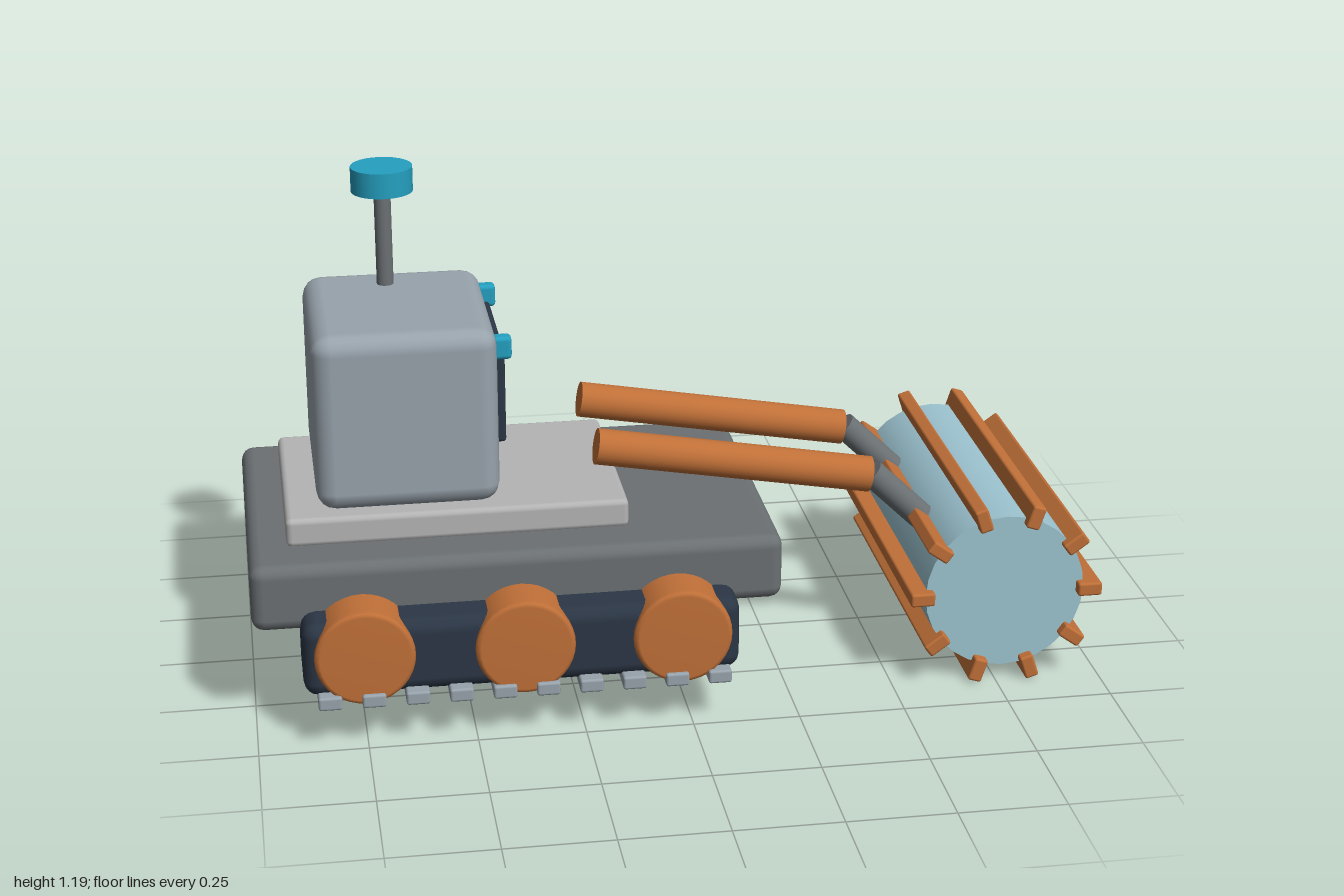
import * as THREE from 'three';
import { RoundedBoxGeometry } from 'three/addons/geometries/RoundedBoxGeometry.js';

const paint = (color) => new THREE.MeshStandardMaterial({ color });
const mats = {
  darkGrey: paint(0x6b7073), lightGrey: paint(0xb4b4b4), steel: paint(0x98a3ac), navy: paint(0x2b3645),
  orange: paint(0xc07038), paleBlue: paint(0x9cc3d0), cyan: paint(0x25a0c0),
};

export function createModel() {
  const model = new THREE.Group();
  model.name = 'drumExcavator';

  const add = (name, geometry, mat, x, y, z, parent = model) => {
    const mesh = new THREE.Mesh(geometry, mats[mat]);
    mesh.name = name;
    mesh.position.set(x, y, z);
    parent.add(mesh);
    return mesh;
  };
  // Rounded box given by its extents on each axis
  const box = (name, mat, [x0, x1], [y0, y1], [z0, z1], r, parent) =>
    add(name, new RoundedBoxGeometry(x1 - x0, y1 - y0, z1 - z0, 2, r), mat,
      (x0 + x1) / 2, (y0 + y1) / 2, (z0 + z1) / 2, parent);
  // Cylinder between two points
  const rod = (name, mat, a, b, r, parent) => {
    const from = new THREE.Vector3(...a), dir = new THREE.Vector3(...b).sub(from);
    const mid = from.clone().addScaledVector(dir, 0.5);
    const mesh = add(name, new THREE.CylinderGeometry(r, r, dir.length(), 28), mat, mid.x, mid.y, mid.z, parent);
    mesh.quaternion.setFromUnitVectors(new THREE.Vector3(0, 1, 0), dir.normalize());
    return mesh;
  };

  // Body
  box('chassis', 'darkGrey', [-1, 0.23], [0.25, 0.41], [-0.385, 0.385], 0.03);
  box('deckPlate', 'lightGrey', [-0.91, -0.115], [0.405, 0.475], [-0.265, 0.265], 0.014);
  box('cab', 'steel', [-0.835, -0.41], [0.475, 0.9], [-0.245, 0.245], 0.045);
  box('windscreen', 'navy', [-0.43, -0.39], [0.605, 0.83], [-0.183, 0.183], 0.008);

  // Mast on the cab roof
  rod('mast', 'darkGrey', [-0.64, 0.88, -0.137], [-0.64, 1.14, -0.137], 0.02);
  rod('mastHead', 'cyan', [-0.64, 1.13, -0.137], [-0.64, 1.19, -0.137], 0.073);

  for (const side of [1, -1]) {
    const label = side > 0 ? 'left' : 'right';

    box(label + 'Lamp', 'cyan', [-0.42, -0.375], [0.815, 0.87], [side * 0.185 - 0.018, side * 0.185 + 0.018], 0.01);

    // Running gear: belt, wheels and ground shoes
    const track = new THREE.Group();
    track.name = label + 'Track';
    track.position.z = side * 0.37;
    model.add(track);
    box('belt', 'navy', [-0.89, 0.115], [0.12, 0.3], [-0.105, 0.105], 0.035, track);
    const h = 0.12, r = 0.115, e = 0.012;
    const wheelProfile = [[0, -h], [r - e, -h], [r - e * 0.3, -h + e * 0.3], [r, -h + e],
      [r, h - e], [r - e * 0.3, h - e * 0.3], [r - e, h], [0, h]].map((p) => new THREE.Vector2(...p));
    for (const x of [-0.75, -0.385, -0.022]) {
      add('wheel', new THREE.LatheGeometry(wheelProfile, 36), 'orange', x, 0.22, 0, track).rotation.x = Math.PI / 2;
    }
    for (let i = 0; i < 10; i++) {
      const x = -0.833 + i * 0.0995;
      box('shoe', 'steel', [x - 0.027, x + 0.027], [0.102, 0.134], [-0.13, 0.13], 0.006, track);
    }

    // Boom and stick reaching to the drum
    const z = side * 0.155;
    rod(label + 'Boom', 'orange', [-0.177, 0.57, z], [0.482, 0.457, z], 0.043);
    rod(label + 'Stick', 'darkGrey', [0.485, 0.462, z], [0.613, 0.338, z], 0.033);
  }

  // Cutting drum with ten paddles
  const drum = new THREE.Group();
  drum.name = 'cuttingDrum';
  drum.position.set(0.768, 0.226, 0);
  model.add(drum);
  rod('drumBody', 'paleBlue', [0, 0, -0.37], [0, 0, 0.37], 0.192, drum);
  for (let i = 0; i < 10; i++) {
    const a = (i * Math.PI) / 5;
    const paddle = add('paddle', new RoundedBoxGeometry(0.058, 0.033, 0.79, 2, 0.006), 'orange',
      0.203 * Math.cos(a), 0.203 * Math.sin(a), 0, drum);
    paddle.rotation.z = a;
  }

  return model;
}
